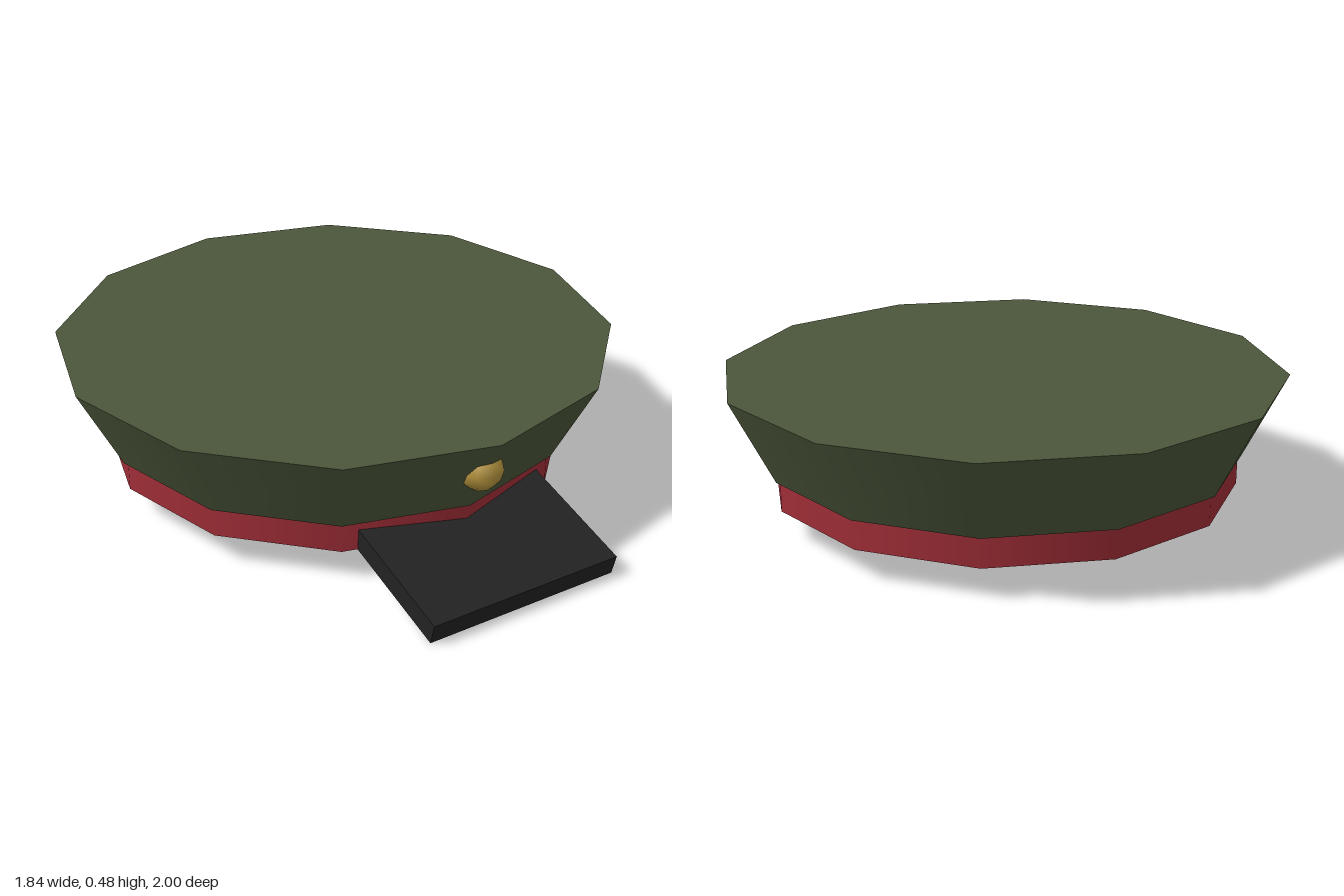
import * as THREE from 'three';

const SIDES = 12;
const CENTRE_Z = -0.08;

function paint(name, color) {
  const material = new THREE.MeshStandardMaterial({ color });
  material.name = name;
  return material;
}

export function createModel() {
  const cap = new THREE.Group();
  cap.name = 'peakedCap';

  function add(name, geometry, material, x, y, z) {
    const mesh = new THREE.Mesh(geometry, material);
    mesh.name = name;
    mesh.position.set(x, y, z);
    cap.add(mesh);
    return mesh;
  }

  const green = paint('olive green', 0x4b563a);
  const red = paint('dark red', 0x9e2d36);
  const black = paint('black', 0x222222);
  const gold = paint('gold', 0xb8963f);

  // Flared crown, wider at the top
  add('crown', new THREE.CylinderGeometry(0.92, 0.78, 0.277, SIDES), green, 0, 0.3385, CENTRE_Z);

  // Straight band under the crown
  add('band', new THREE.CylinderGeometry(0.767, 0.767, 0.12, SIDES), red, 0, 0.162, CENTRE_Z);

  // Visor: a slab sloping down to the front, its rear end inside the band
  const tilt = 0.25, length = 0.5, thickness = 0.07;
  const visorGeometry = new THREE.BoxGeometry(0.667, thickness, length);
  visorGeometry.translate(0, -thickness / 2, -length / 2);
  const visor = add('visor', visorGeometry, black, 0, 0.068, 1.0);
  visor.rotation.x = tilt;

  // Round badge half sunk into the front of the crown
  add('badge', new THREE.SphereGeometry(0.07, 8, 6), gold, 0, 0.355, 0.745);

  return cap;
}
